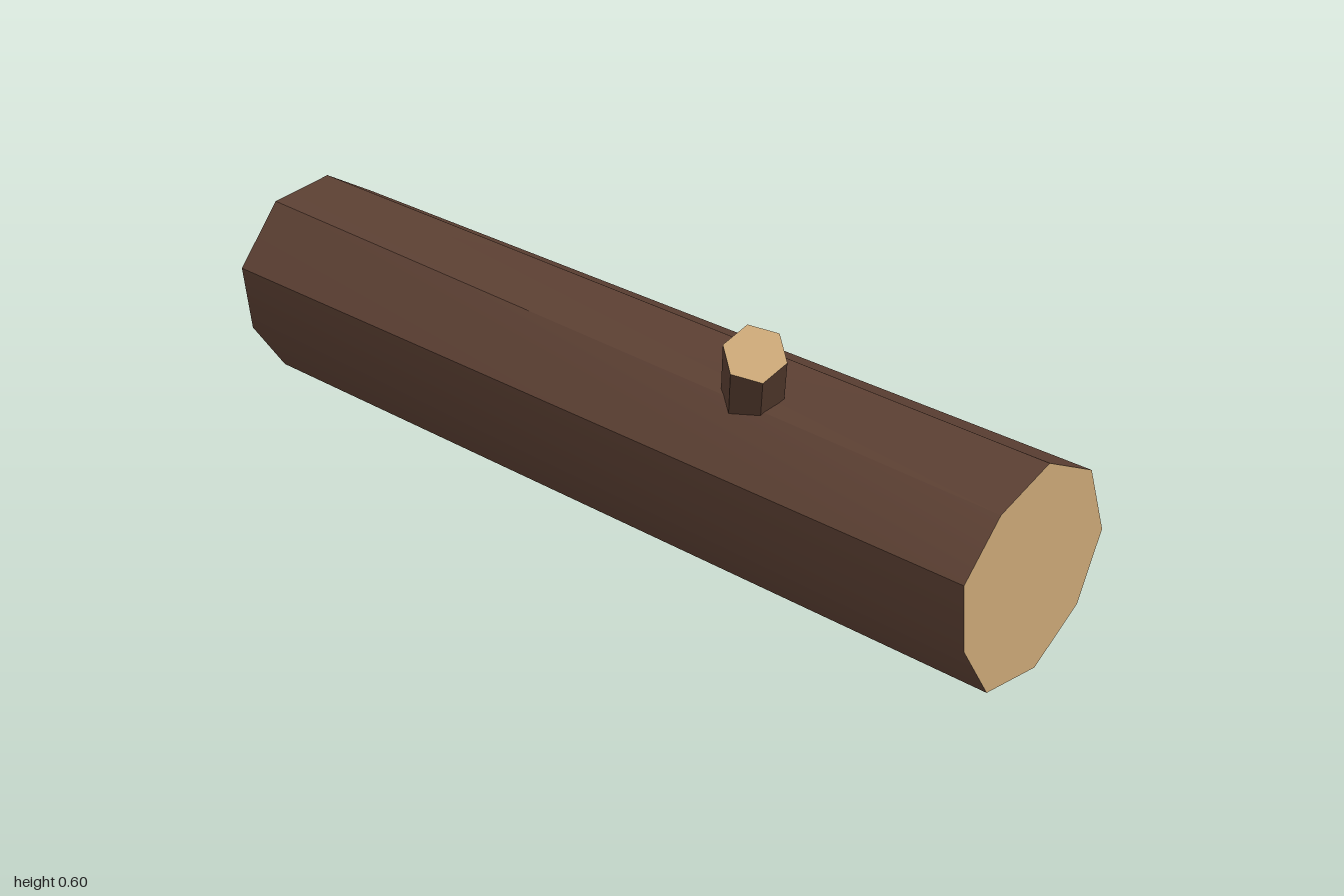
import * as THREE from 'three';
import { toCreasedNormals } from 'three/addons/utils/BufferGeometryUtils.js';

const bark = new THREE.MeshStandardMaterial({ color: 0x5c4033 });
bark.name = 'bark';
const cutWood = new THREE.MeshStandardMaterial({ color: 0xc8a575 });
cutWood.name = 'cut wood';

function mesh(name, points, material) {
  const geometry = new THREE.BufferGeometry().setFromPoints(points);
  const m = new THREE.Mesh(toCreasedNormals(geometry, 0.5), material);
  m.name = name;
  return m;
}

// Bark between two rings, each counterclockwise as seen from the end ring
function sides(name, start, end) {
  const points = [];
  start.forEach((a, i) => {
    const j = (i + 1) % start.length;
    points.push(a, end[j], end[i], a, start[j], end[j]);
  });
  return mesh(name, points, bark);
}

// Flat sawn face across a ring
function cap(name, ring) {
  const centre = new THREE.Vector3();
  ring.forEach((p) => centre.addScaledVector(p, 1 / ring.length));
  const points = [];
  ring.forEach((p, i) => points.push(centre, p, ring[(i + 1) % ring.length]));
  return mesh(name, points, cutWood);
}

export function createModel() {
  const model = new THREE.Group();
  model.name = 'log';

  // Trunk: uneven nine-sided ends, as [z, y] from the top round the front
  const ringAt = (x, profile) => profile.map(([z, y]) => new THREE.Vector3(x, y, z));
  const rightEnd = ringAt(-1, [
    [-0.035, 0.447], [0.122, 0.435], [0.232, 0.308], [0.212, 0.152], [0.125, 0.025],
    [-0.03, 0.004], [-0.173, 0.075], [-0.21, 0.228], [-0.165, 0.365],
  ]);
  const leftEnd = ringAt(1, [
    [-0.032, 0.458], [0.117, 0.41], [0.222, 0.305], [0.21, 0.155], [0.127, 0.022],
    [-0.03, 0.003], [-0.163, 0.086], [-0.232, 0.227], [-0.178, 0.382],
  ]);
  const trunk = new THREE.Group();
  trunk.name = 'trunk';
  trunk.add(
    sides('trunkBark', rightEnd, leftEnd),
    cap('leftCut', leftEnd),
    cap('rightCut', [...rightEnd].reverse()),
  );

  // Branch stub: six-sided, leaning forward and to the left, rooted in the trunk
  const axis = new THREE.Vector3(0.49, 1, 0.55).normalize();
  const tip = new THREE.Vector3(0.437, 0.566, 0.16);
  const root = tip.clone().addScaledVector(axis, -0.27);
  const corner = new THREE.Vector3(-0.012, -0.026, 0.058).projectOnPlane(axis).setLength(0.065);
  const hexagon = (centre) => Array.from({ length: 6 }, (_, i) =>
    corner.clone().applyAxisAngle(axis, (i * Math.PI) / 3).add(centre));
  const branch = new THREE.Group();
  branch.name = 'branch';
  branch.add(sides('branchBark', hexagon(root), hexagon(tip)), cap('branchCut', hexagon(tip)));

  model.add(trunk, branch);
  return model;
}
